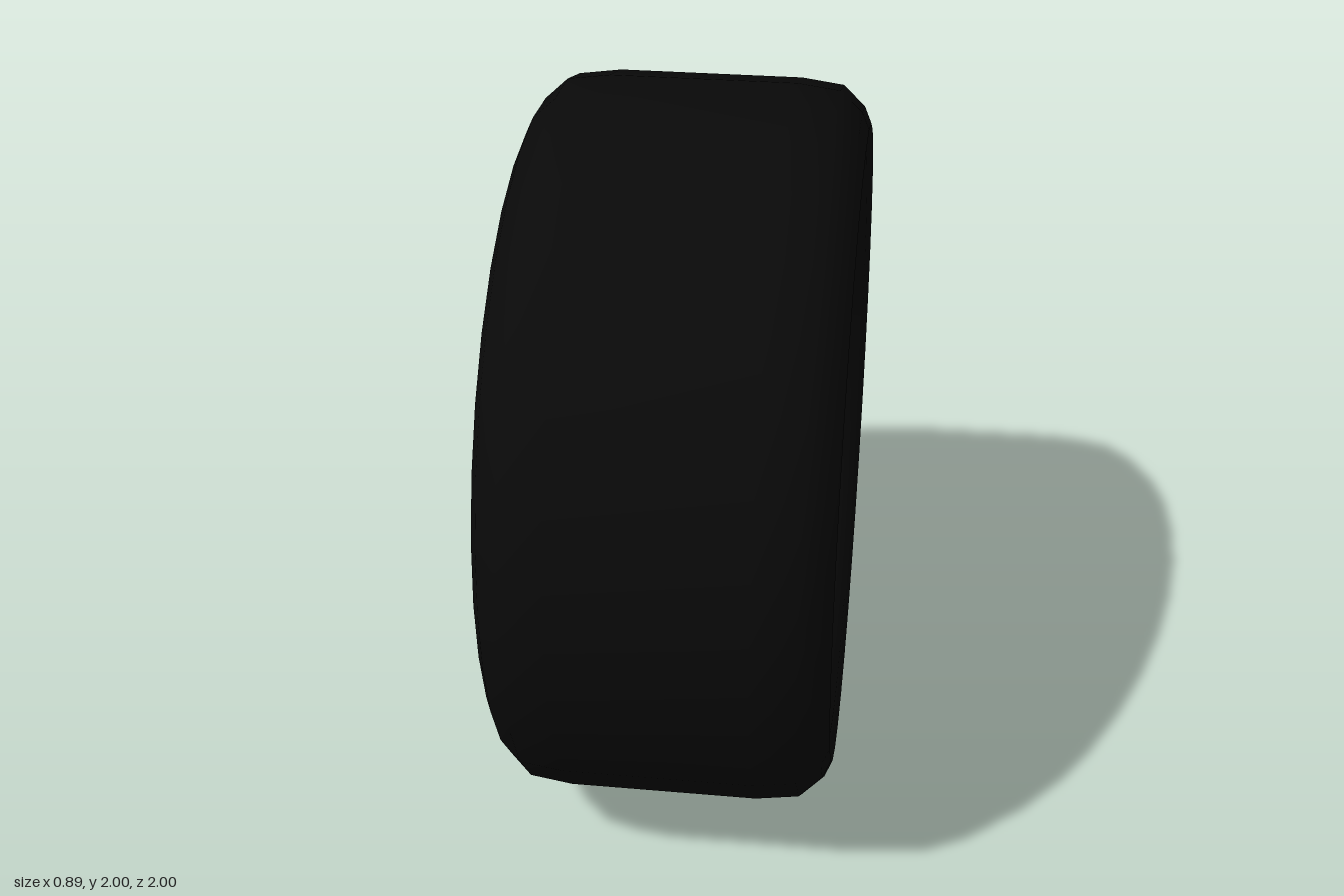
import * as THREE from 'three';
import { toCreasedNormals } from 'three/addons/utils/BufferGeometryUtils.js';

const paint = (color) => new THREE.MeshStandardMaterial({ color, side: THREE.DoubleSide });
const rubber = paint(0x090909);
const rimMetal = paint(0x292929);
const hubMetal = paint(0x1e1e1e);
const spokeMetal = paint(0x161616);
const capMetal = paint(0xcccccc);

// Turn a profile of [radius, x] points around the axle (x axis).
function turned(name, profile, material, segments, crease = 0.7) {
  const points = profile.map(([r, x]) => new THREE.Vector2(r, x));
  const geometry = new THREE.LatheGeometry(points, segments).rotateZ(-Math.PI / 2);
  const mesh = new THREE.Mesh(toCreasedNormals(geometry, crease), material);
  mesh.name = name;
  return mesh;
}

const polar = (x, r, a) => new THREE.Vector3(x, r * Math.cos(a), r * Math.sin(a));

function rod(name, from, to, radius, material) {
  const mesh = new THREE.Mesh(
    new THREE.CylinderGeometry(radius, radius, from.distanceTo(to), 6), material);
  mesh.position.copy(from).add(to).multiplyScalar(0.5);
  mesh.quaternion.setFromUnitVectors(new THREE.Vector3(0, 1, 0), to.clone().sub(from).normalize());
  mesh.name = name;
  return mesh;
}

// Hub plate with four round bolt holes, facing along the axle.
function hubPlate() {
  const shape = new THREE.Shape().absarc(0, 0, 0.275, 0, Math.PI * 2);
  for (let i = 0; i < 4; i++) {
    const a = Math.PI / 4 + i * Math.PI / 2;
    shape.holes.push(new THREE.Path().absarc(0.195 * Math.cos(a), 0.195 * Math.sin(a), 0.032, 0, Math.PI * 2, true));
  }
  const geometry = new THREE.ExtrudeGeometry(shape, { depth: 0.03, bevelEnabled: false, curveSegments: 20 });
  const mesh = new THREE.Mesh(geometry.rotateY(Math.PI / 2), hubMetal);
  mesh.name = 'hubPlate';
  return mesh;
}

export function createModel() {
  const wheel = new THREE.Group();
  wheel.name = 'wheel';

  // Tire: mirrored outer half profile, closed by the inner bore
  const half = [[0.70, 0.32], [0.735, 0.345], [0.775, 0.40], [0.82, 0.432], [0.885, 0.445], [0.93, 0.425], [0.985, 0.365], [1, 0.25]];
  const tire = [
    ...half.map(([r, x]) => [r, -x]),
    ...half.slice().reverse(),
    [0.70, -0.32],
  ];
  wheel.add(turned('tire', tire, rubber, 32, 0.9));

  // Rim: flare at the back, deep throat, flat face and bevelled outer lip
  wheel.add(turned('rim', [
    [0.70, -0.05], [0.60, 0], [0.53, 0.03], [0.49, 0.05], [0.488, 0.18], [0.489, 0.31],
    [0.495, 0.34], [0.515, 0.358], [0.55, 0.362], [0.71, 0.362],
    [0.725, 0.372], [0.742, 0.362], [0.745, 0.30],
  ], rimMetal, 48));

  // Hub
  const hub = new THREE.Group();
  hub.name = 'hub';
  hub.add(hubPlate());
  hub.add(turned('hubRing', [[0.25, -0.03], [0.28, -0.03], [0.28, 0.035], [0.25, 0.035], [0.25, -0.03]], hubMetal, 40));
  hub.add(turned('hubBarrel', [
    [0, -0.01], [0.08, -0.01], [0.08, -0.03], [0.13, -0.03], [0.13, 0.03],
    [0.115, 0.06], [0.115, 0.16], [0.143, 0.185], [0.143, 0.224], [0, 0.224],
  ], hubMetal, 32));
  hub.add(turned('hubCap', [[0.145, 0.222], [0.145, 0.228], [0, 0.23]], capMetal, 32));
  wheel.add(hub);

  // Spokes: crossed pairs from the front of the barrel and from the hub ring,
  // with their ends poking through the back of the rim
  const spokes = new THREE.Group();
  spokes.name = 'spokes';
  const count = 20;
  const rows = [
    { hubX: 0.16, hubR: 0.12, rimX: 0.005, rimR: 0.54, sweep: 0.62, phase: 0 },
    { hubX: 0.01, hubR: 0.265, rimX: -0.01, rimR: 0.54, sweep: 0.32, phase: 0.5 },
  ];
  for (const row of rows) {
    for (let i = 0; i < count; i++) {
      for (const side of [-1, 1]) {
        const a = (i + row.phase + side * 0.18) * 2 * Math.PI / count;
        spokes.add(rod('spoke', polar(row.hubX, row.hubR, a - side * row.sweep),
          polar(row.rimX, row.rimR, a), 0.007, spokeMetal));
      }
    }
  }
  wheel.add(spokes);

  wheel.position.y = 1;
  const model = new THREE.Group();
  model.name = 'wireWheel';
  model.add(wheel);
  return model;
}
